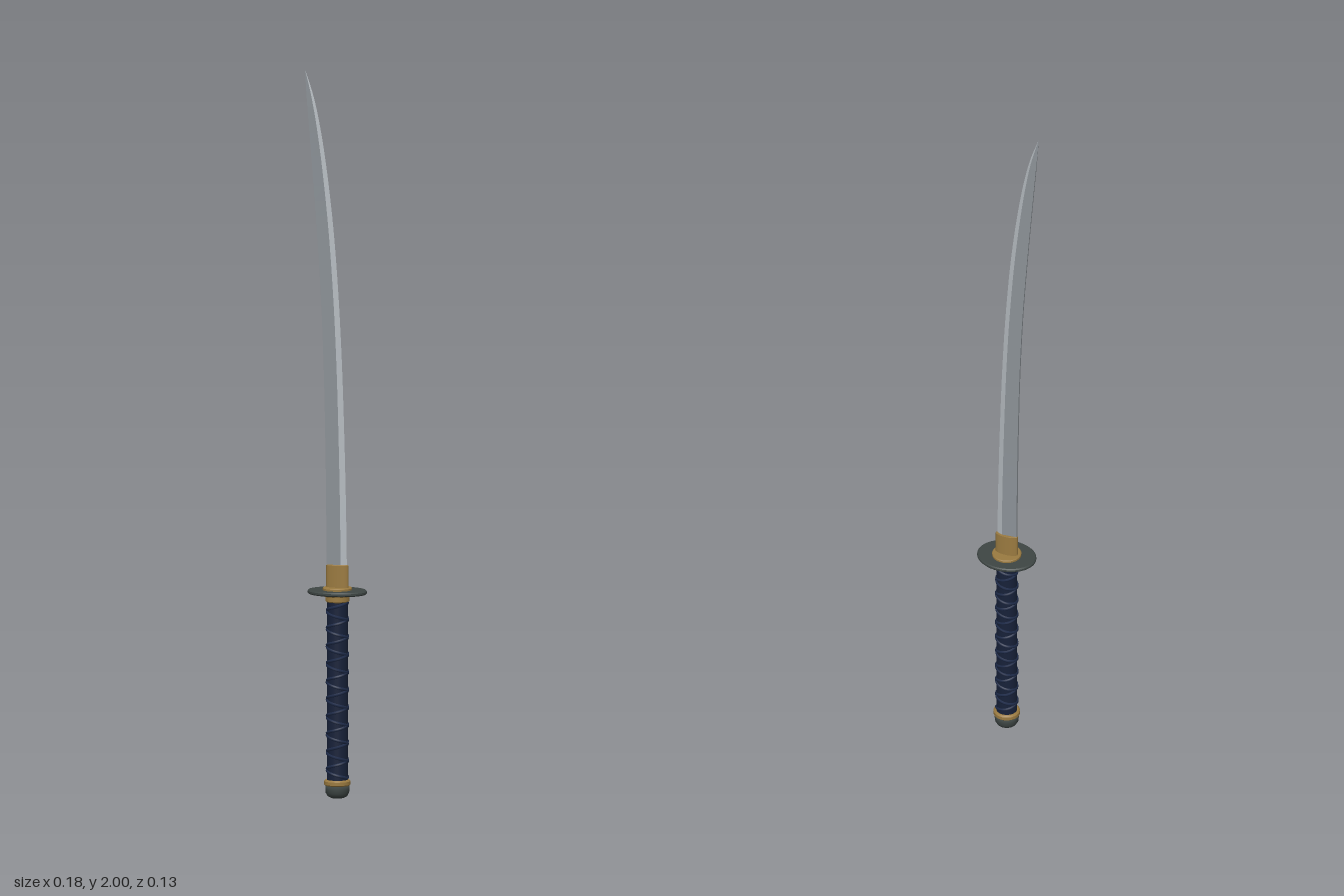
import * as THREE from 'three';

const mat = (name, color) => new THREE.MeshStandardMaterial({ name, color });

export function createModel() {
  const root = new THREE.Group();
  root.name = 'curvedSword';
  const steel = mat('steel', 0x8c9297);
  const bright = mat('polishedEdge', 0xb4babf);
  const brass = mat('brass', 0x9a7a40);
  const iron = mat('darkIron', 0x3e4644);
  const navy = mat('navyCord', 0x1d2a48);
  const cloth = mat('darkGrip', 0x172139);
  const CX = 0.004;

  const add = (name, geo, material, x = CX, y = 0) => {
    const m = new THREE.Mesh(geo, material);
    m.name = name;
    m.position.set(x, y, 0);
    root.add(m);
    return m;
  };
  const lathe = (pts) => new THREE.LatheGeometry(pts.map(p => new THREE.Vector2(...p)), 40);
  // Round disc or ring with softened rims, between heights a and b
  const disc = (r, a, b, c = 0.002) => lathe([
    [0, a], [r - c, a], [r - c, a], [r, a + c], [r, a + c],
    [r, b - c], [r, b - c], [r - c, b], [r - c, b], [0, b]]);

  // Grip core and crossed cord wrapping
  add('gripCore', new THREE.CylinderGeometry(0.0285, 0.0285, 0.51, 32), cloth, CX, 0.3);
  class Helix extends THREE.Curve {
    constructor(dir) { super(); this.dir = dir; }
    getPoint(t, v = new THREE.Vector3()) {
      const a = t * 10 * Math.PI * 2 * this.dir;
      return v.set(Math.cos(a) * 0.0275, 0.055 + t * 0.485, Math.sin(a) * 0.0275);
    }
  }
  for (const dir of [1, -1]) {
    add(dir > 0 ? 'cordWrapA' : 'cordWrapB',
      new THREE.TubeGeometry(new Helix(dir), 320, 0.0045, 6), navy);
  }

  // Pommel
  add('pommelCap', lathe([[0, 0], [0.018, 0.001], [0.027, 0.006],
    [0.032, 0.015], [0.033, 0.025], [0.033, 0.036], [0, 0.036]]), iron);
  add('pommelRing', disc(0.036, 0.034, 0.051, 0.004), brass);

  // Collar, washers and oval guard
  add('gripCollar', disc(0.033, 0.54, 0.56, 0.003), brass);
  add('lowerWasher', disc(0.04, 0.556, 0.564), brass);
  add('guard', disc(0.0825, 0.562, 0.573, 0.003), iron).scale.z = 0.815;
  add('upperWasher', disc(0.04, 0.57, 0.58), brass);

  // Oval blade collar
  add('bladeCollar', disc(0.032, 0.578, 0.642), brass).scale.z = 0.38;

  // Blade stations: spine x, height, cutting-edge x
  const outline = new THREE.CatmullRomCurve3([
    [-0.026, 0.6, 0.032], [-0.027, 0.8, 0.029], [-0.03, 1.0, 0.024],
    [-0.035, 1.2, 0.017], [-0.044, 1.4, 0.006], [-0.058, 1.6, -0.011],
    [-0.074, 1.8, -0.038], [-0.084, 1.92, -0.063], [-0.09, 2.0, -0.0895],
  ].map(p => new THREE.Vector3(...p)));
  const N = 40;
  const rings = [];
  for (let i = 0; i <= N; i++) {
    const p = outline.getPoint(i / N);
    const w = p.z - p.x;
    const h = (0.007 - 0.0035 * i / N) * Math.min(1, w / 0.025);
    const ridge = p.z - w * 0.27;
    // Counter-clockwise from above: spine, ridge, edge, ridge, spine
    rings.push([[p.x, h * 0.6], [ridge, h], [p.z, 0], [ridge, -h], [p.x, -h * 0.6]]
      .map(([x, z]) => [x, p.y, z]));
  }
  const strip = (j) => {
    const k = (j + 1) % 5, pos = [];
    for (let i = 0; i < N; i++) {
      const a = rings[i], b = rings[i + 1];
      pos.push(...a[j], ...a[k], ...b[k], ...a[j], ...b[k], ...b[j]);
    }
    const g = new THREE.BufferGeometry();
    g.setAttribute('position', new THREE.Float32BufferAttribute(pos, 3));
    g.computeVertexNormals();
    return g;
  };
  ['bladeFlatFront', 'edgeBevelFront', 'edgeBevelBack', 'bladeFlatBack', 'bladeSpine']
    .forEach((name, j) => add(name, strip(j), j === 1 || j === 2 ? bright : steel, 0));

  return root;
}
